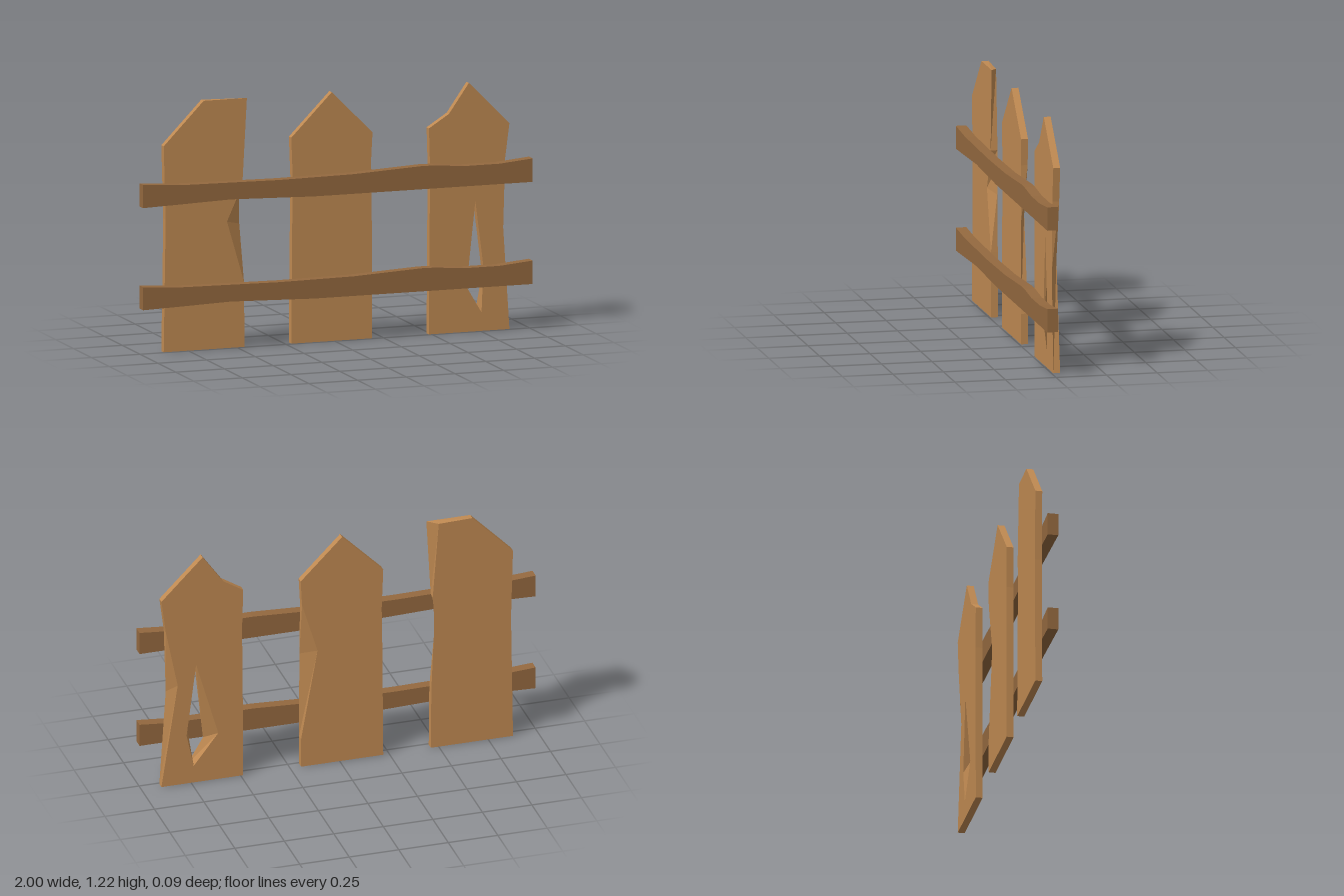
import * as THREE from 'three';

const plankWood = new THREE.MeshStandardMaterial({ color: 0xc08a52, flatShading: true });
const railWood = new THREE.MeshStandardMaterial({ color: 0x94693f, flatShading: true });

// Slab between a front and a back outline (counter-clockwise from the front, hole clockwise).
// Each point is [x, y], or [x, y, backX, backY] where the wood is chipped.
function slab(name, material, zFront, zBack, outline, hole = []) {
  const position = [];
  const front = p => new THREE.Vector3(p[0], p[1], zFront);
  const back = p => new THREE.Vector3(p[2] ?? p[0], p[3] ?? p[1], zBack);
  const tri = (...corners) => corners.forEach(c => position.push(c.x, c.y, c.z));

  // Front and back faces
  for (const [side, flip] of [[front, false], [back, true]]) {
    const outer = outline.map(side), inner = hole.map(side), all = [...outer, ...inner];
    const flat = list => list.map(v => new THREE.Vector2(v.x, v.y));
    const faces = THREE.ShapeUtils.triangulateShape(flat(outer), hole.length ? [flat(inner)] : []);
    for (const [a, b, c] of faces) {
      if (flip) tri(all[a], all[c], all[b]);
      else tri(all[a], all[b], all[c]);
    }
  }
  // Edges around the outline and inside the hole
  for (const loop of [outline, hole]) {
    loop.forEach((p, i) => {
      const q = loop[(i + 1) % loop.length];
      tri(front(p), back(p), back(q));
      tri(front(p), back(q), front(q));
    });
  }
  const geometry = new THREE.BufferGeometry();
  geometry.setAttribute('position', new THREE.Float32BufferAttribute(position, 3));
  geometry.computeVertexNormals();
  const mesh = new THREE.Mesh(geometry, material);
  mesh.name = name;
  return mesh;
}

export function createModel() {
  const fence = new THREE.Group();
  fence.name = 'fence';
  const plank = (name, outline, hole) =>
    fence.add(slab(name, plankWood, -0.009, -0.043, outline, hole));

  // Right plank: broken tip, chip on the front of its inner edge
  plank('rightPlank', [
    [-0.875, 0], [-0.46, 0], [-0.463, 0.32],
    [-0.55, 0.62, -0.475, 0.6], [-0.495, 0.74, -0.475, 0.74], [-0.47, 0.82],
    [-0.448, 1.22, -0.5, 1.215], [-0.67, 1.22], [-0.875, 1.01], [-0.865, 0.65],
  ]);

  // Middle plank: pointed, chip on the back of its left edge
  plank('middlePlank', [
    [-0.22, 0], [0.195, 0], [0.195, 0.15],
    [0.193, 0.6, 0.112, 0.62], [0.19, 0.88], [0.197, 1.01],
    [-0.012, 1.22], [-0.22, 1.01], [-0.212, 0.8], [-0.215, 0.6],
  ]);

  // Left plank: stepped point, worn left edge, splintered hole
  plank('leftPlank', [
    [0.487, 0], [0.9, 0], [0.868, 0.5, 0.818, 0.54],
    [0.878, 0.84], [0.9, 1.01], [0.692, 1.22],
    [0.59, 1.075], [0.487, 1.01], [0.493, 0.8], [0.49, 0.5],
  ], [
    [0.725, 0.64], [0.766, 0.32, 0.773, 0.26], [0.757, 0.09, 0.737, 0.09],
    [0.68, 0.22, 0.613, 0.25],
  ]);

  // Two identical wavy rails along the front
  const railOutline = [
    [-1, 0], [-0.8, 0.006], [-0.55, 0.014], [-0.12, 0.001], [1, 0],
    [1, 0.115], [0.83, 0.1], [0.65, 0.1], [0.5, 0.113], [0.43, 0.114],
    [0.08, 0.097], [-0.3, 0.093], [-0.8, 0.1], [-1, 0.113],
  ];
  for (const [name, y] of [['lowerRail', 0.223], ['upperRail', 0.724]]) {
    const rail = slab(name, railWood, 0.043, -0.009, railOutline);
    rail.position.y = y;
    fence.add(rail);
  }
  return fence;
}
